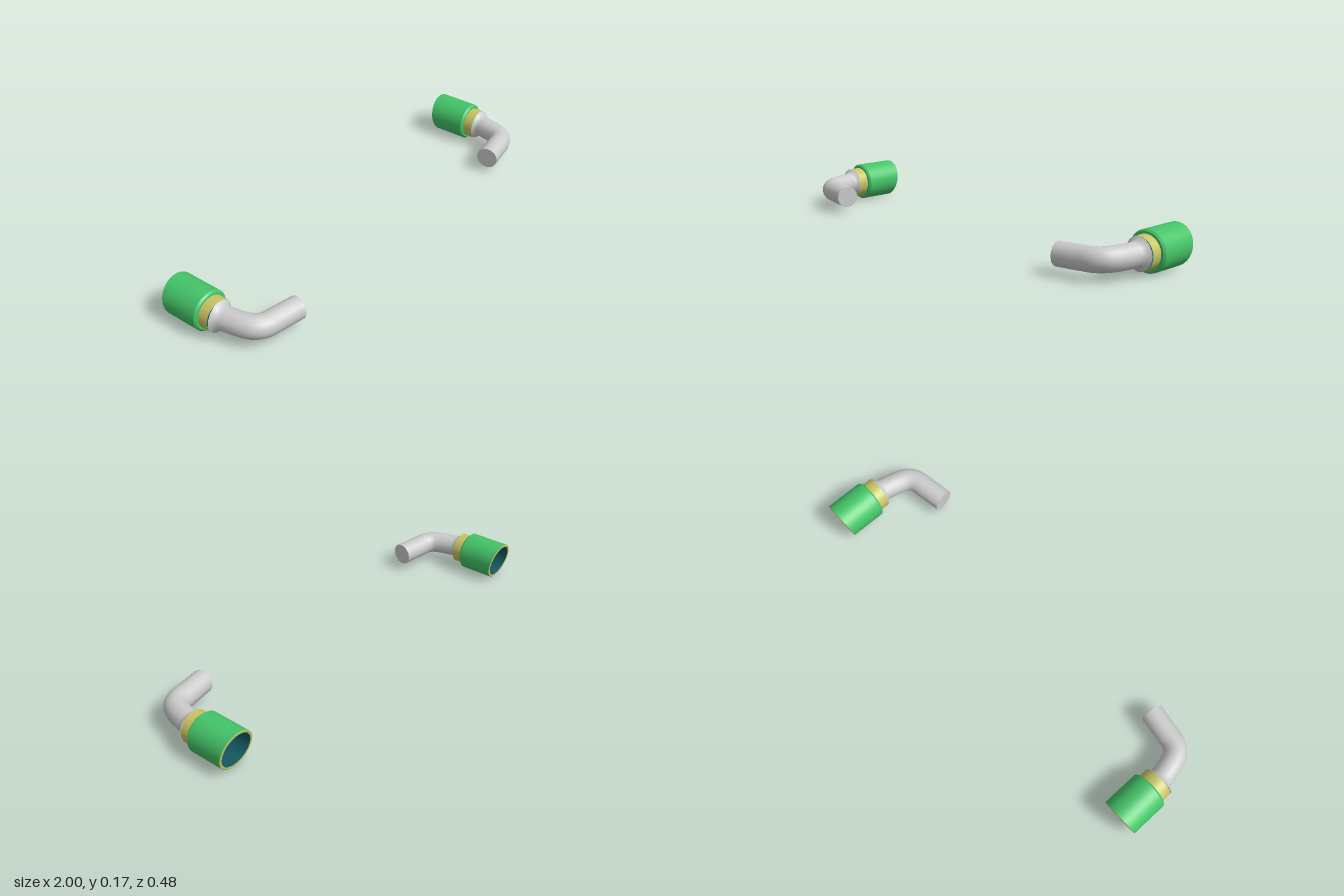
import * as THREE from 'three';
import { toCreasedNormals } from 'three/addons/utils/BufferGeometryUtils.js';

const X = 0.914, Y = 0.089; // axis of the left-hand tip, mirrored for the other
const SLANT_START = 0.18;   // profile points beyond this follow the slanted cut
const PIPE_RADIUS = 0.05, PIPE_STEPS = 30, PIPE_SIDES = 16;
const FLARE = [1.39, 1.12]; // widening of the first pipe rings, where it meets the collar

const grey = new THREE.MeshStandardMaterial({ color: 0xcccccc, side: THREE.DoubleSide });
const green = new THREE.MeshStandardMaterial({ color: 0x44c468 });
const olive = new THREE.MeshStandardMaterial({ color: 0xc8c465 });
const teal = new THREE.MeshStandardMaterial({ color: 0x135a64 });

// Revolves [radius, distance to the rear] pairs about the z axis, shearing the rear end
function turned(name, profile, material) {
  const points = profile.map(([r, t]) => new THREE.Vector2(r, t));
  const geometry = new THREE.LatheGeometry(points, 40);
  geometry.rotateX(-Math.PI / 2);
  const p = geometry.attributes.position;
  for (let i = 0; i < p.count; i++) {
    if (-p.getZ(i) > SLANT_START) p.setZ(i, p.getZ(i) - 0.178 * p.getY(i));
  }
  const mesh = new THREE.Mesh(toCreasedNormals(geometry, 0.45), material);
  mesh.name = name;
  return mesh;
}

// Bent pipe running forward, then inward: flared at the collar and closed at its inner end
function createPipe(side) {
  const path = new THREE.CatmullRomCurve3([
    [0.914, 0.089, -0.004], [0.912, 0.0893, 0.016], [0.904, 0.088, 0.055], [0.893, 0.087, 0.1],
    [0.875, 0.086, 0.139], [0.842, 0.084, 0.163], [0.79, 0.082, 0.173], [0.683, 0.08, 0.191]
  ].map(([x, y, z]) => new THREE.Vector3(side * x, y, z)));

  const tube = new THREE.TubeGeometry(path, PIPE_STEPS, PIPE_RADIUS, PIPE_SIDES);
  const p = tube.attributes.position;
  const v = new THREE.Vector3();
  FLARE.forEach((scale, ring) => {
    const centre = path.getPointAt(ring / PIPE_STEPS);
    for (let j = 0; j <= PIPE_SIDES; j++) {
      const i = ring * (PIPE_SIDES + 1) + j;
      v.fromBufferAttribute(p, i).sub(centre).multiplyScalar(scale).add(centre);
      p.setXYZ(i, v.x, v.y, v.z);
    }
  });
  const wall = new THREE.Mesh(toCreasedNormals(tube, 0.9), grey);
  wall.name = 'pipeWall';

  const cap = new THREE.Mesh(new THREE.CircleGeometry(PIPE_RADIUS, PIPE_SIDES), grey);
  cap.name = 'pipeEnd';
  cap.position.copy(path.getPointAt(1));
  cap.lookAt(path.getPointAt(1).add(path.getTangentAt(1)));

  const pipe = new THREE.Group();
  pipe.name = 'pipe';
  pipe.add(wall, cap);
  return pipe;
}

function createTip(side) {
  const tip = new THREE.Group();
  tip.name = 'tip';
  tip.position.set(side * X, Y, 0);
  tip.add(
    // outer sleeve with a chamfered front shoulder
    turned('sleeve', [[0.069, 0.049], [0.079, 0.05], [0.0865, 0.058], [0.0865, 0.225]], green),
    turned('rim', [[0.0865, 0.225], [0.0835, 0.227], [0.075, 0.226]], olive),
    // inside wall, stepping down to a closed throat
    turned('liner', [[0.075, 0.226], [0.073, 0.06], [0.06, 0.05], [0.05, 0.01], [0, 0.01]], teal),
    turned('collar', [[0.0695, 0.003], [0.07, 0.052]], olive)
  );
  return tip;
}

export function createModel() {
  const model = new THREE.Group();
  model.name = 'exhaustPair';
  for (const side of [1, -1]) {
    const exhaust = new THREE.Group();
    exhaust.name = side > 0 ? 'leftExhaust' : 'rightExhaust';
    exhaust.add(createTip(side), createPipe(side));
    model.add(exhaust);
  }
  return model;
}
